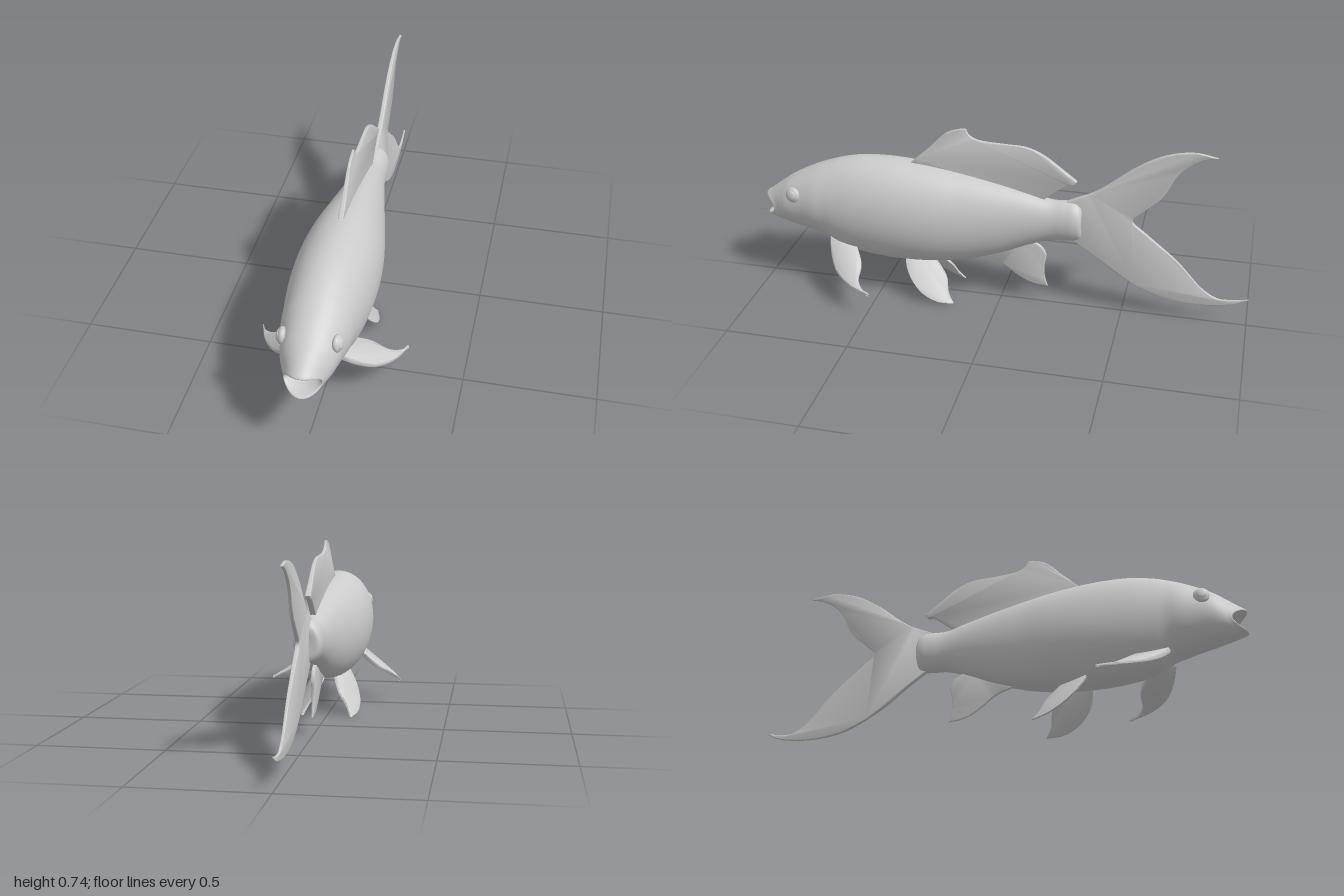
import * as THREE from 'three';
import { mergeVertices, toCreasedNormals } from 'three/addons/utils/BufferGeometryUtils.js';

const grey = new THREE.MeshStandardMaterial({ color: 0xcccccc });
const finGrey = new THREE.MeshStandardMaterial({ color: 0xcccccc, side: THREE.DoubleSide });

// Body stations from the throat, out over the lips, back to the tail root:
// z, top y, bottom y, half width, how far the sides are swept back
const STATIONS = [
  [0.90, 0.335, 0.325, 0.004, 0],
  [0.915, 0.352, 0.305, 0.04, 0],
  [0.96, 0.362, 0.299, 0.055, 0.03],
  [0.988, 0.37, 0.294, 0.062, 0.045],
  [0.998, 0.379, 0.286, 0.069, 0.05],
  [0.975, 0.396, 0.278, 0.075, 0.042],
  [0.93, 0.43, 0.266, 0.087, 0.02],
  [0.88, 0.466, 0.254, 0.099, 0],
  [0.82, 0.499, 0.241, 0.113, 0],
  [0.76, 0.527, 0.226, 0.127, 0],
  [0.71, 0.546, 0.21, 0.133, 0],
  [0.66, 0.562, 0.18, 0.141, 0],
  [0.58, 0.578, 0.158, 0.151, 0],
  [0.48, 0.583, 0.147, 0.157, 0],
  [0.38, 0.579, 0.145, 0.157, 0],
  [0.26, 0.567, 0.152, 0.146, 0],
  [0.13, 0.546, 0.174, 0.122, 0],
  [0.0, 0.52, 0.215, 0.096, 0],
  [-0.11, 0.494, 0.263, 0.073, 0],
  [-0.2, 0.471, 0.295, 0.058, 0],
  [-0.26, 0.472, 0.301, 0.057, 0],
  [-0.3, 0.47, 0.306, 0.055, 0],
  [-0.325, 0.445, 0.325, 0.043, 0],
  [-0.325, 0.39, 0.38, 0.004, 0],
];

// Smooth skin lofted through elliptical sections
function bodyGeometry(rings = 140, sides = 56) {
  const curve = (pick) => new THREE.CatmullRomCurve3(
    STATIONS.map((s) => new THREE.Vector3(...pick(s))), false, 'catmullrom', 0.5);
  const heights = curve(([z, top, bottom]) => [z, top, bottom]);
  const widths = curve(([, , , w, bend]) => [w, bend, 0]);
  const positions = [], index = [];
  for (let i = 0; i <= rings; i++) {
    const h = heights.getPoint(i / rings), w = widths.getPoint(i / rings);
    for (let j = 0; j < sides; j++) {
      const a = (j / sides) * Math.PI * 2;
      positions.push(
        w.x * Math.cos(a),
        (h.y + h.z) / 2 + ((h.y - h.z) / 2) * Math.sin(a),
        h.x - w.y * Math.cos(a) ** 2);
      if (i === rings) continue;
      const k = (j + 1) % sides, r = i * sides, n = r + sides;
      index.push(r + j, n + j, r + k, r + k, n + j, n + k);
    }
  }
  const g = new THREE.BufferGeometry();
  g.setAttribute('position', new THREE.Float32BufferAttribute(positions, 3));
  g.setIndex(index);
  g.computeVertexNormals();
  return g;
}

// Thin fin: smooth edges joined at sharp corners, thickened, then placed by a mapping
function fin(name, edges, place) {
  const outline = [];
  for (const edge of edges) {
    const pts = new THREE.SplineCurve(edge.map((p) => new THREE.Vector2(...p))).getPoints(edge.length * 5);
    outline.push(...pts.slice(0, -1));
  }
  if (THREE.ShapeUtils.isClockWise(outline)) outline.reverse();
  let g = new THREE.ExtrudeGeometry(new THREE.Shape(outline), {
    depth: 1, bevelEnabled: true, bevelThickness: 0.5, bevelSize: 0.003, bevelOffset: -0.003, bevelSegments: 2,
  });
  g.translate(0, 0, -0.5);
  const p = g.attributes.position;
  for (let i = 0; i < p.count; i++) p.setXYZ(i, ...place(p.getX(i), p.getY(i), p.getZ(i)));
  g.deleteAttribute('uv');
  g.deleteAttribute('normal');
  g = toCreasedNormals(mergeVertices(g, 1e-5), 0.8);
  const mesh = new THREE.Mesh(g, finGrey);
  mesh.name = name;
  return mesh;
}

export function createModel() {
  const fish = new THREE.Group();
  fish.name = 'fish';
  const body = new THREE.Mesh(bodyGeometry(), grey);
  body.name = 'body';
  fish.add(body);

  // Midline fins, drawn as (z, y), thinner away from the body
  const upright = (base, tip, y0, y1) => (z, y, t) => {
    const k = THREE.MathUtils.clamp((y - y0) / (y1 - y0), 0, 1);
    return [-t * THREE.MathUtils.lerp(base, tip, k), y, z];
  };
  fish.add(fin('dorsalFin', [
    [[0.37, 0.575], [0.3, 0.64], [0.225, 0.715], [0.17, 0.738], [0.141, 0.741]],
    [[0.141, 0.741], [0.125, 0.714], [0.08, 0.697], [-0.02, 0.692], [-0.1, 0.688], [-0.17, 0.66], [-0.23, 0.617], [-0.302, 0.562]],
    [[-0.302, 0.562], [-0.29, 0.547], [-0.26, 0.541], [-0.18, 0.478], [-0.15, 0.45]],
    [[-0.15, 0.45], [0.05, 0.5], [0.34, 0.54]],
    [[0.34, 0.54], [0.37, 0.575]],
  ], upright(0.011, 0.005, 0.55, 0.73)));
  fish.add(fin('analFin', [
    [[0.1, 0.195], [0.01, 0.168], [-0.07, 0.112], [-0.13, 0.083], [-0.195, 0.076]],
    [[-0.195, 0.076], [-0.182, 0.12], [-0.18, 0.17], [-0.186, 0.222], [-0.16, 0.262], [-0.1, 0.285]],
    [[-0.1, 0.285], [0, 0.25], [0.1, 0.195]],
  ], upright(0.004, 0.007, 0.08, 0.25)));
  fish.add(fin('tailFin', [
    [[-0.24, 0.46], [-0.3, 0.49], [-0.39, 0.537], [-0.52, 0.642], [-0.63, 0.706], [-0.74, 0.731], [-0.832, 0.718]],
    [[-0.832, 0.718], [-0.77, 0.7], [-0.69, 0.635], [-0.635, 0.53], [-0.56, 0.456], [-0.526, 0.414],
      [-0.58, 0.365], [-0.71, 0.258], [-0.805, 0.155], [-0.87, 0.112], [-0.92, 0.108], [-1, 0.12]],
    [[-1, 0.12], [-0.93, 0.088], [-0.8, 0.072], [-0.65, 0.088], [-0.5, 0.158], [-0.365, 0.255], [-0.29, 0.305], [-0.24, 0.33]],
    [[-0.24, 0.33], [-0.24, 0.395], [-0.24, 0.46]],
  ], (z, y, t) => [-t * THREE.MathUtils.mapLinear(z, -0.24, -1, 0.011, 0.003), y, z]));

  for (const s of [1, -1]) {
    const side = s > 0 ? 'left' : 'right';

    // Pectoral fins, drawn as (x, z) and sloping down and out
    fish.add(fin(side + 'PectoralFin', [
      [[0.065, 0.71], [0.13, 0.685], [0.2, 0.638], [0.255, 0.56], [0.286, 0.472]],
      [[0.286, 0.472], [0.262, 0.513], [0.22, 0.54], [0.16, 0.546], [0.11, 0.575], [0.065, 0.61]],
      [[0.065, 0.61], [0.06, 0.66], [0.065, 0.71]],
    ], (x, z, t) => {
      const k = (x - 0.065) / 0.221;
      return [s * x, 0.232 - 0.125 * k - 0.012 * Math.sin(k * Math.PI) - s * t * (0.015 - 0.01 * k), z];
    }));

    // Pelvic fins, drawn as (z, y), leading edge turned outwards
    fish.add(fin(side + 'PelvicFin', [
      [[0.39, 0.185], [0.375, 0.135], [0.345, 0.087], [0.3, 0.043], [0.24, 0.012], [0.178, 0.001]],
      [[0.178, 0.001], [0.203, 0.04], [0.22, 0.095], [0.27, 0.155], [0.3, 0.19]],
      [[0.3, 0.19], [0.345, 0.2], [0.39, 0.185]],
    ], (z, y, t) => [s * (0.105 + 0.42 * (z - 0.18) - 0.75 * y) - t * (0.006 + 0.03 * y), y, z]));

    // Eyes, flattened and set into the head, each with a raised pupil
    const eye = new THREE.Group();
    eye.name = side + 'Eye';
    const ball = new THREE.Mesh(new THREE.SphereGeometry(1, 28, 18), grey);
    ball.name = 'eyeball';
    ball.scale.set(0.017, 0.032, 0.031);
    const pupil = new THREE.Mesh(new THREE.SphereGeometry(1, 24, 14), grey);
    pupil.name = 'pupil';
    pupil.scale.set(0.007, 0.02, 0.02);
    pupil.position.x = s * 0.013;
    eye.add(ball, pupil);
    eye.position.set(s * 0.099, 0.422, 0.845);
    eye.rotation.set(0, -s * 0.2, s * 0.15);
    fish.add(eye);
  }
  return fish;
}
